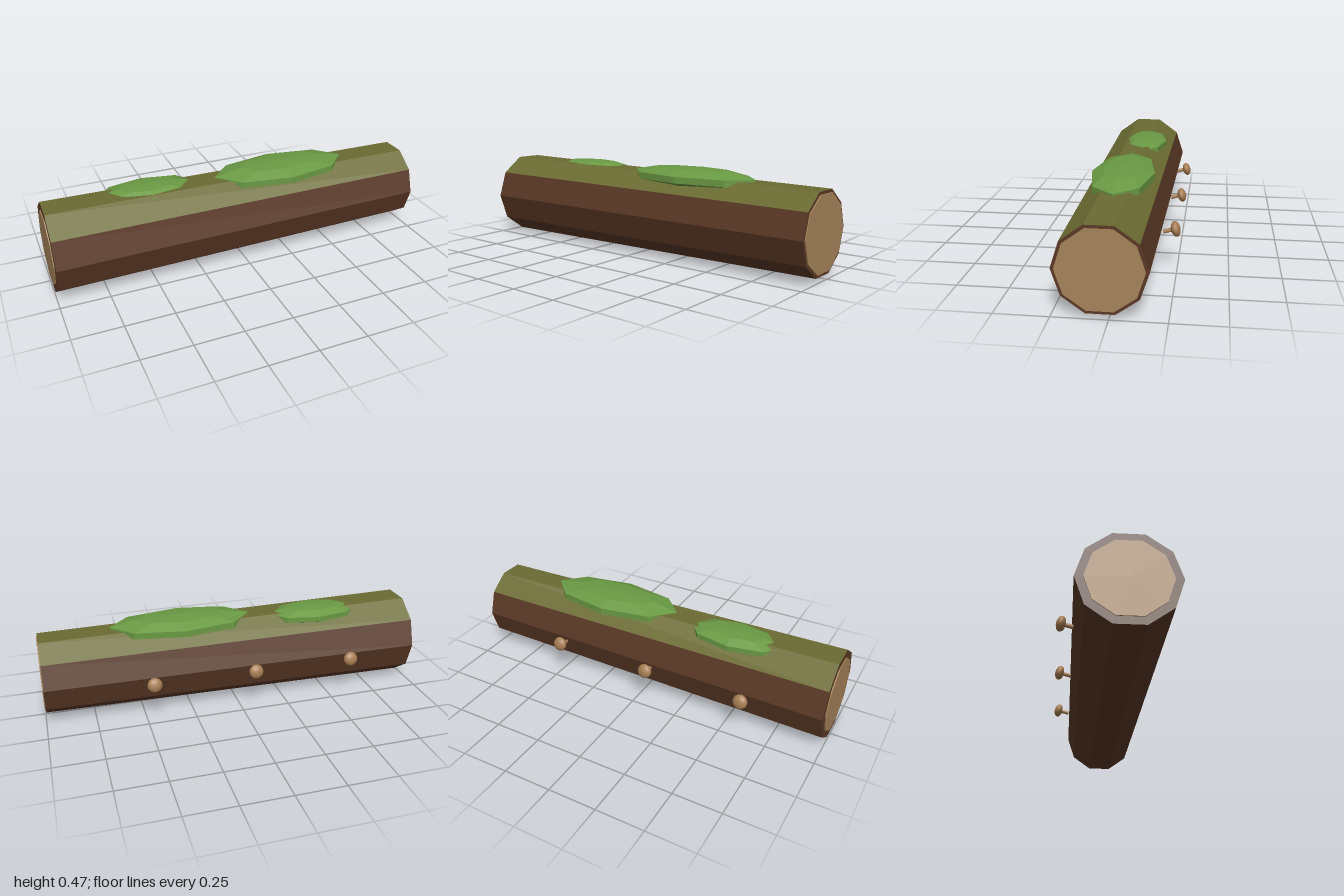
import * as THREE from 'three';

const CENTRE_Y = 0.222, CENTRE_Z = 0.036;
const LEN = 1.99, R_THIN = 0.207, R_THICK = 0.231;
const STEP = Math.PI / 5; // ten-sided trunk

function material(name, color, flatShading = false) {
  const m = new THREE.MeshStandardMaterial({ color, flatShading });
  m.name = name;
  return m;
}

export function createModel() {
  const bark = material('bark', 0x5a3825, true);
  const mossyBark = material('mossy bark', 0x6b6b33, true);
  const wood = material('cut wood', 0xa68359, true);
  const moss = material('moss', 0x6a9a44, true);
  const fungus = material('mushroom', 0xa67c52);

  const model = new THREE.Group();
  model.name = 'fallenLog';

  const add = (parent, name, geometry, mat, x = 0, y = 0, z = 0) => {
    const mesh = new THREE.Mesh(geometry, mat);
    mesh.name = name;
    mesh.position.set(x, y, z);
    parent.add(mesh);
    return mesh;
  };

  // Tapered trunk: a run of side faces around the x axis
  const trunkFaces = (first, count) =>
    new THREE.CylinderGeometry(R_THIN, R_THICK, LEN, count, 1, true, first * STEP, count * STEP)
      .rotateZ(-Math.PI / 2);
  add(model, 'trunkBark', trunkFaces(9, 7), bark, 0, CENTRE_Y, CENTRE_Z);
  add(model, 'trunkMossyTop', trunkFaces(6, 3), mossyBark, 0, CENTRE_Y, CENTRE_Z);

  // Bark rim and raised cut-wood disc at both ends
  for (const side of [-1, 1]) {
    const radius = side > 0 ? R_THIN : R_THICK;
    const label = side > 0 ? 'Left' : 'Right';
    add(model, 'barkRim' + label, new THREE.CircleGeometry(radius, 10).rotateY(side * Math.PI / 2),
      bark, side * LEN / 2, CENTRE_Y, CENTRE_Z);
    add(model, 'cutWood' + label, new THREE.CylinderGeometry(0.192, 0.192, 0.01, 10).rotateZ(-Math.PI / 2),
      wood, side * 0.995, CENTRE_Y, CENTRE_Z);
  }

  // Faceted moss cushions sunk into the top
  const cushion = (name, x, y, z, rx, ry, rz) =>
    add(model, name, new THREE.SphereGeometry(1, 8, 5).scale(rx, ry, rz), moss, x, y, z);
  cushion('largeMossCushion', 0.262, 0.417, CENTRE_Z, 0.392, 0.053, 0.166);
  cushion('smallMossCushion', -0.464, 0.412, 0, 0.264, 0.044, 0.128);

  // Row of mushrooms growing from the back, tilted slightly upward
  for (const x of [-0.6, -0.07, 0.46]) {
    const mushroom = new THREE.Group();
    mushroom.name = 'mushroom';
    mushroom.position.set(x, 0.2155, -0.241);
    mushroom.rotation.x = -Math.PI / 2 + Math.PI / 12;
    add(mushroom, 'mushroomCap', new THREE.SphereGeometry(0.038, 16, 10).scale(1, 0.6, 1), fungus);
    add(mushroom, 'mushroomStem', new THREE.CylinderGeometry(0.01, 0.011, 0.06, 10), fungus, 0, -0.03, 0);
    model.add(mushroom);
  }

  return model;
}
